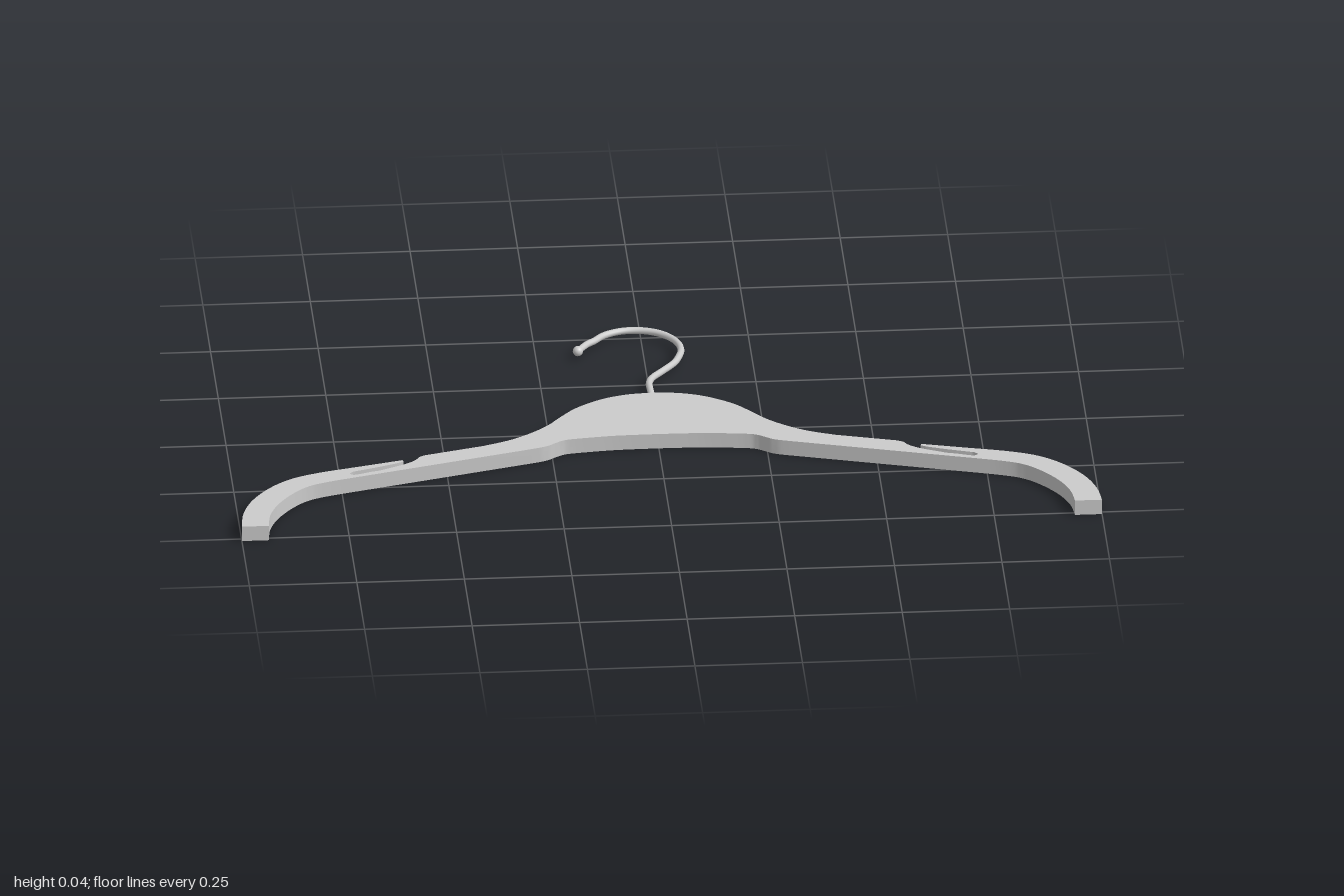
import * as THREE from 'three';
import { toCreasedNormals } from 'three/addons/utils/BufferGeometryUtils.js';

const THICK = 0.037;
const WIRE = 0.008;
const MID = 0.0195;

// Smooth run through a few [x, z] points
const curve = (pts, n) =>
  new THREE.SplineCurve(pts.map(([x, z]) => new THREE.Vector2(x, z))).getPoints(n);

// Half outline on +x, from the top centre round to the bottom centre
function halfOutline() {
  return [
    // domed centre flowing into the shoulder
    ...curve([[0, -0.133], [0.06, -0.127], [0.12, -0.106], [0.18, -0.065], [0.22, -0.02],
      [0.255, 0.025], [0.3, 0.065], [0.35, 0.097], [0.41, 0.122]], 40),
    new THREE.Vector2(0.55, 0.162),
    // strap notch: lip and lower edge to the closed end
    ...curve([[0.563, 0.17], [0.573, 0.186], [0.59, 0.2], [0.612, 0.213], [0.64, 0.226],
      [0.658, 0.235], [0.68, 0.241], [0.705, 0.25], [0.722, 0.254], [0.731, 0.246]], 30),
    // underside of the prong back to its tip
    ...curve([[0.722, 0.237], [0.7, 0.23], [0.67, 0.22], [0.64, 0.209], [0.615, 0.199],
      [0.601, 0.191]], 14),
    // prong top, then the drooping arm end
    ...curve([[0.603, 0.184], [0.7, 0.21], [0.8, 0.237], [0.87, 0.267], [0.925, 0.315],
      [0.968, 0.378], [0.992, 0.445], [1, 0.511]], 40),
    ...curve([[0.937, 0.511], [0.93, 0.456], [0.908, 0.4], [0.87, 0.345], [0.83, 0.308],
      [0.785, 0.288], [0.73, 0.271]], 30),
    // straight underside and the step into the centre
    ...curve([[0.3, 0.147], [0.265, 0.135], [0.24, 0.117], [0.22, 0.105], [0.195, 0.1]], 14),
    ...curve([[0.18, 0.098], [0.1, 0.09], [0, 0.088]], 10),
  ];
}

function createBody(material) {
  const right = halfOutline();
  const left = right.slice(1, -1).reverse().map((p) => new THREE.Vector2(-p.x, p.y));
  const geo = new THREE.ExtrudeGeometry(new THREE.Shape([...right, ...left]), {
    depth: THICK, bevelEnabled: false,
  });
  geo.rotateX(Math.PI / 2).translate(0, THICK, 0);
  const body = new THREE.Mesh(toCreasedNormals(geo, 0.5), material);
  body.name = 'hangerBody';
  return body;
}

function createHook(material) {
  const hook = new THREE.Group();
  hook.name = 'hook';
  // stem, slanted neck, round crook and straight tail
  const path = [[0, -0.11], [0, -0.17], [0, -0.222], [0.008, -0.246], [0.035, -0.282], [0.066, -0.325]];
  for (let i = 0; i <= 10; i++) {
    const a = THREE.MathUtils.degToRad(-22 + i * 17);
    path.push([-0.021 + 0.107 * Math.cos(a), -0.396 - 0.107 * Math.sin(a)]);
  }
  path.push([-0.129, -0.437], [-0.153, -0.402]);
  const spline = new THREE.CatmullRomCurve3(
    path.map(([x, z]) => new THREE.Vector3(x, MID, z)), false, 'centripetal');
  const wire = new THREE.Mesh(new THREE.TubeGeometry(spline, 110, WIRE, 12), material);
  wire.name = 'hookWire';
  const tip = new THREE.Mesh(new THREE.SphereGeometry(0.012, 16, 12), material);
  tip.position.set(-0.153, MID, -0.402);
  tip.name = 'hookTip';
  hook.add(wire, tip);
  return hook;
}

export function createModel() {
  const material = new THREE.MeshStandardMaterial({ color: 0xcccccc });
  const model = new THREE.Group();
  model.name = 'clothesHanger';
  model.add(createBody(material), createHook(material));
  return model;
}
